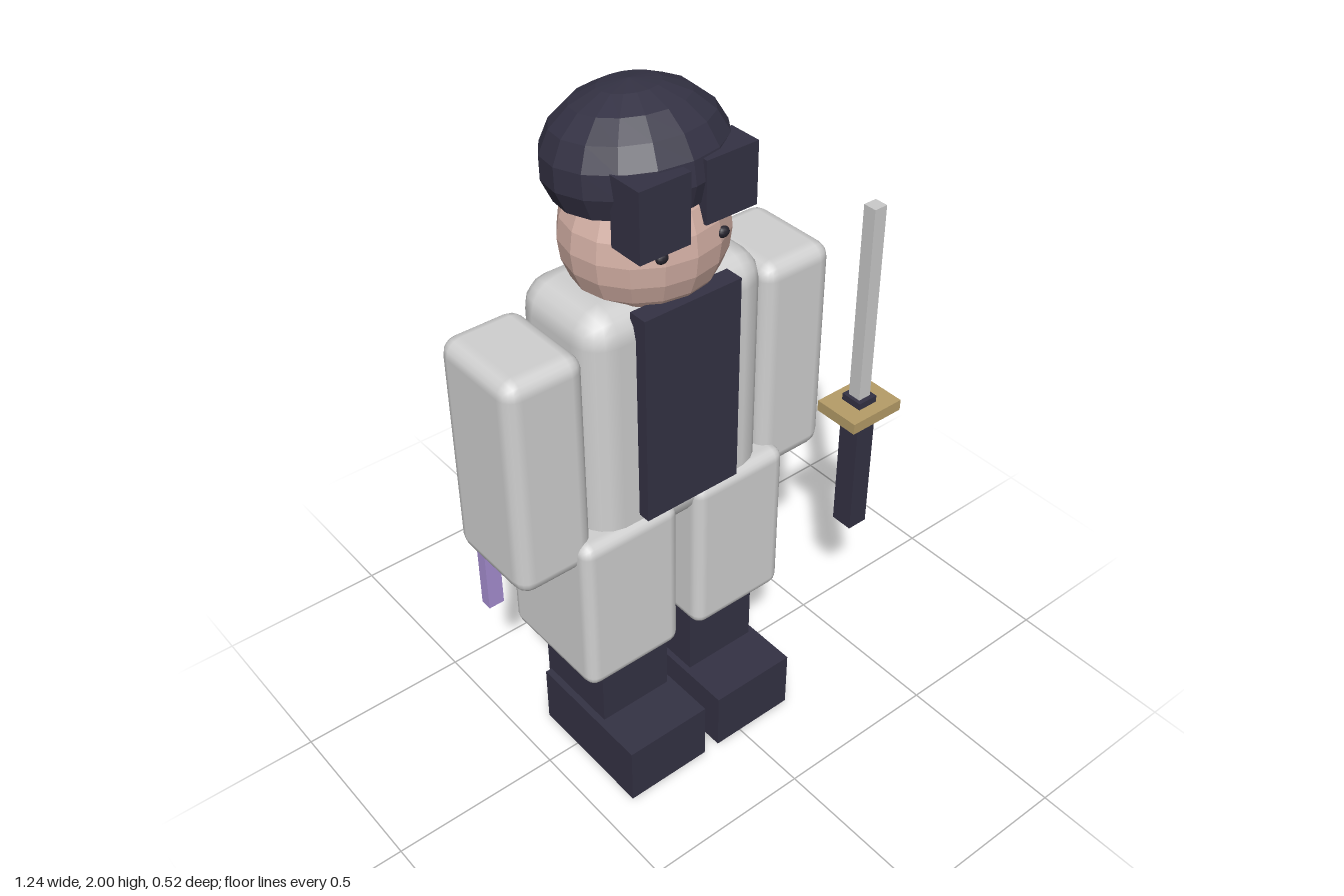
import * as THREE from 'three';
import { RoundedBoxGeometry } from 'three/addons/geometries/RoundedBoxGeometry.js';

const mat = (name, color) => Object.assign(new THREE.MeshStandardMaterial({ color }), { name });

export function createModel() {
  const cloth = mat('pale grey cloth', 0xd0d0d0);
  const dark = mat('dark navy', 0x343244);
  const skin = mat('skin', 0xd4b0a5);
  const gold = mat('guard gold', 0xb69d68);
  const steel = mat('blade steel', 0xcacaca);
  const purple = mat('sheath purple', 0xa78fd2);
  const eyeDark = mat('eye dark', 0x26242e);

  const model = new THREE.Group();
  model.name = 'swordsman';

  const add = (name, geometry, material, x, y, z, parent = model) => {
    const mesh = new THREE.Mesh(geometry, material);
    mesh.name = name;
    mesh.position.set(x, y, z);
    parent.add(mesh);
    return mesh;
  };
  // Box given by its limits on each axis; a radius rounds its edges
  const box = (name, material, [x0, x1], [y0, y1], [z0, z1], radius = 0, parent = model) => {
    const size = [x1 - x0, y1 - y0, z1 - z0];
    const geometry = radius
      ? new RoundedBoxGeometry(...size, 2, radius)
      : new THREE.BoxGeometry(...size);
    return add(name, geometry, material, (x0 + x1) / 2, (y0 + y1) / 2, (z0 + z1) / 2, parent);
  };
  // Faceted ellipsoid, optionally cut off below an angle from the top
  const faceted = (rx, ry, rz, wide, high, theta = Math.PI) => {
    const geometry = new THREE.SphereGeometry(1, wide, high, 0, Math.PI * 2, 0, theta)
      .scale(rx, ry, rz).toNonIndexed();
    geometry.computeVertexNormals();
    return geometry;
  };

  const cx = -0.11; // middle of the body

  // Head, eyes and hair
  const head = new THREE.Group();
  head.name = 'head';
  model.add(head);
  add('face', faceted(0.22, 0.22, 0.2, 16, 12), skin, cx, 1.64, -0.012, head);
  for (const [side, s] of [['right', -1], ['left', 1]]) {
    add(side + 'Eye', new THREE.SphereGeometry(1, 10, 8).scale(0.018, 0.015, 0.012),
      eyeDark, cx + s * 0.092, 1.665, 0.168, head);
  }
  const hair = add('hair', faceted(0.238, 0.18, 0.222, 16, 6, Math.PI * 0.65),
    dark, cx, 1.82, -0.04, head);
  hair.rotation.x = -0.12;
  box('rightFringe', dark, [-0.286, -0.138], [1.69, 1.877], [0.09, 0.195], 0, head);
  box('leftFringe', dark, [-0.08, 0.075], [1.71, 1.877], [0.085, 0.18], 0, head);

  // Torso with dark front panel
  box('torso', cloth, [-0.39, 0.173], [0.785, 1.53], [-0.187, 0.14], 0.085);
  box('chestPanel', dark, [-0.26, 0.038], [0.905, 1.518], [0.12, 0.175]);

  // Arms and legs, mirrored about the middle of the body
  for (const [side, s] of [['right', -1], ['left', 1]]) {
    const span = (a, b) => (s > 0 ? [cx + a, cx + b] : [cx - b, cx - a]);
    box(side + 'Arm', cloth, span(0.28, 0.51), [0.8, 1.455], [-0.17, 0.125], 0.045);
    const leg = new THREE.Group();
    leg.name = side + 'Leg';
    model.add(leg);
    box(side + 'Thigh', cloth, span(0.03, 0.34), [0.387, 0.888], [-0.207, 0.16], 0.035, leg);
    box(side + 'Shin', dark, span(0.043, 0.27), [0.03, 0.42], [-0.152, 0.112], 0, leg);
    box(side + 'Shoe', dark, span(0.025, 0.29), [0, 0.185], [-0.142, 0.262], 0, leg);
  }

  // Sword beside the left hand
  const sword = new THREE.Group();
  sword.name = 'sword';
  model.add(sword);
  box('blade', steel, [0.502, 0.544], [0.9, 1.527], [0.122, 0.163], 0, sword);
  box('swordGuard', gold, [0.434, 0.615], [0.862, 0.896], [0.07, 0.216], 0, sword);
  box('swordHandle', dark, [0.491, 0.556], [0.455, 0.917], [0.108, 0.177], 0, sword);

  // Sheath behind the right arm
  box('sheath', purple, [-0.521, -0.473], [0.46, 1.17], [-0.253, -0.217]);

  return model;
}
